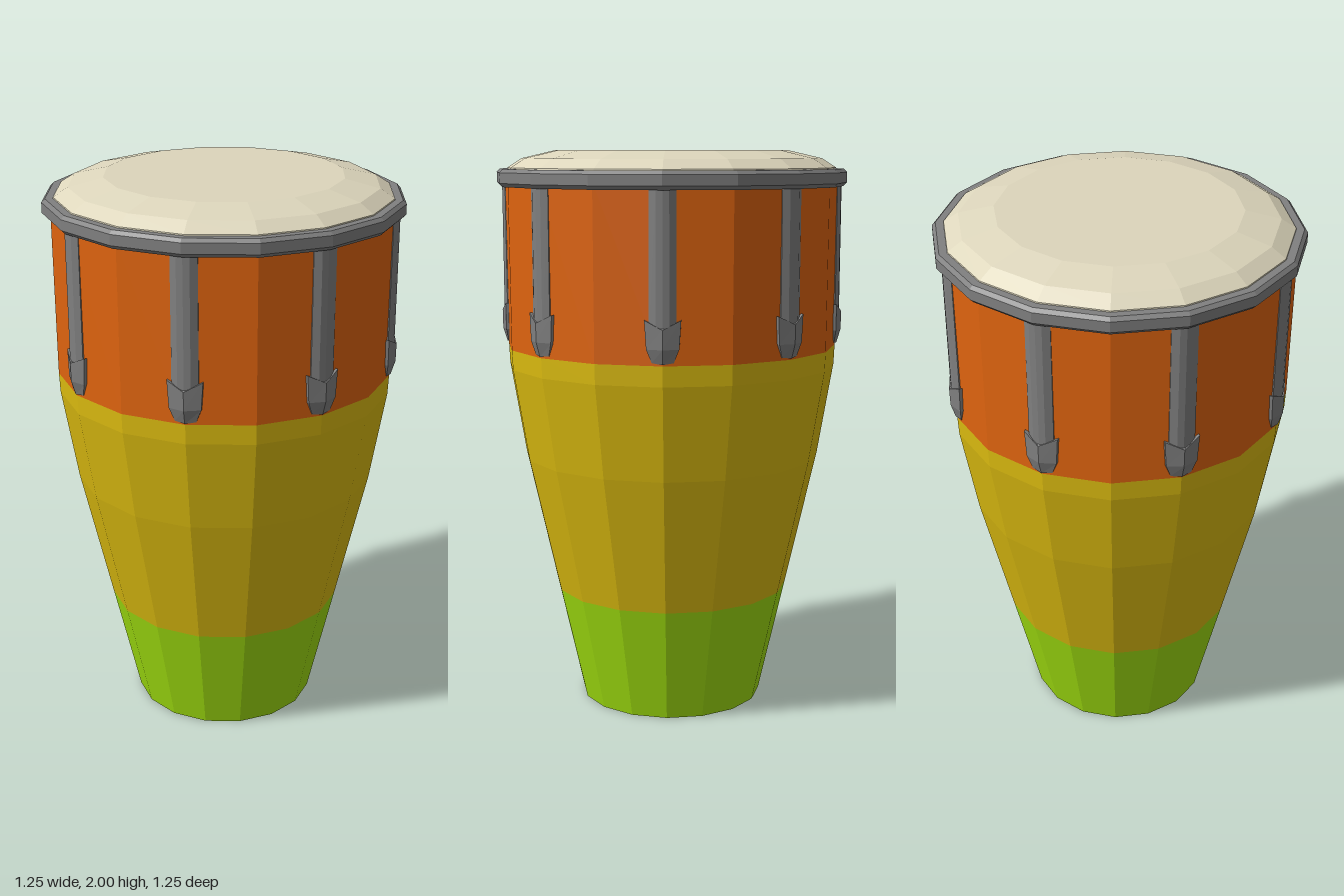
import * as THREE from 'three';

const SIDES = 16;
const mat = (name, color) => new THREE.MeshStandardMaterial({ name, color, flatShading: true });

// Faceted ring of revolution from [radius, height] pairs
function turned(name, points, material) {
  const profile = points.map(([r, y]) => new THREE.Vector2(r, y));
  const mesh = new THREE.Mesh(new THREE.LatheGeometry(profile, SIDES), material);
  mesh.name = name;
  return mesh;
}

// Closed solid through cross-sections listed from bottom to top
function loft(rings) {
  const n = rings[0].length;
  const index = [];
  for (let r = 0; r < rings.length - 1; r++) {
    for (let i = 0; i < n; i++) {
      const a = r * n + i, b = r * n + (i + 1) % n;
      index.push(a, b, b + n, a, b + n, a + n);
    }
  }
  // Caps fan out from the middle point, so a notched end folds at its centre
  const top = (rings.length - 1) * n, m = (n - 1) / 2;
  for (let k = 1; k < n - 1; k++) {
    const p = (m + k) % n, q = (m + k + 1) % n;
    index.push(m, q, p, top + m, top + p, top + q);
  }
  const geo = new THREE.BufferGeometry();
  geo.setAttribute('position', new THREE.Float32BufferAttribute(rings.flat(2), 3));
  geo.setIndex(index);
  geo.computeVertexNormals();
  return geo;
}

// Pocket section: half width, edge and ridge depth, edge and ridge height
const pocketRing = (w, edge, ridge, y, yMid) => [
  [-w, y, 0.55], [-w, y, edge], [0, yMid, ridge], [w, y, edge], [w, y, 0.55],
];

// Rod section: rounded front, back buried in the shell
const rodRing = (y) => [
  [-0.045, y, 0.56], [-0.045, y, 0.589], [-0.022, y, 0.603], [0, y, 0.606],
  [0.022, y, 0.603], [0.045, y, 0.589], [0.045, y, 0.56],
];

export function createModel() {
  const orange = mat('orange paint', 0xdf640f);
  const yellow = mat('yellow paint', 0xdcbc10);
  const green = mat('green paint', 0xa0df10);
  const cream = mat('cream skin', 0xddd6bc);
  const grey = mat('grey metal', 0x808080);
  const brown = mat('brown wood', 0x80502d);

  const drum = new THREE.Group();
  drum.name = 'drum';

  // Shell in three painted bands, with a recessed base
  drum.add(
    turned('base', [[0, 0.06], [0.285, 0.06], [0.285, 0], [0.33, 0]], brown),
    turned('lowerShell', [[0.33, 0], [0.425, 0.42]], green),
    turned('middleShell', [[0.425, 0.42], [0.535, 0.91], [0.59, 1.24], [0.593, 1.31]], yellow),
    turned('upperShell', [[0.593, 1.31], [0.596, 1.9]], orange),
  );

  // Metal hoop and stretched skin
  drum.add(
    turned('hoop', [[0.58, 1.875], [0.612, 1.875], [0.625, 1.888], [0.625, 1.924],
      [0.613, 1.936], [0.58, 1.936]], grey),
    turned('skin', [[0.588, 1.925], [0.585, 1.94], [0.535, 1.972], [0.415, 2], [0, 2]], cream),
  );

  // Eight tension rods, each held in a notched pocket
  const rodGeo = loft([rodRing(1.4), rodRing(1.89)]);
  const pocketGeo = loft([
    pocketRing(0.036, 0.588, 0.598, 1.32, 1.315),
    pocketRing(0.054, 0.593, 0.613, 1.365, 1.365),
    pocketRing(0.06, 0.593, 0.614, 1.46, 1.43),
  ]);
  for (let i = 0; i < 8; i++) {
    const lug = new THREE.Group();
    lug.name = 'lug';
    const rod = new THREE.Mesh(rodGeo, grey);
    rod.name = 'tensionRod';
    const pocket = new THREE.Mesh(pocketGeo, grey);
    pocket.name = 'lugPocket';
    lug.add(rod, pocket);
    lug.rotation.y = i * Math.PI / 4;
    drum.add(lug);
  }
  return drum;
}
